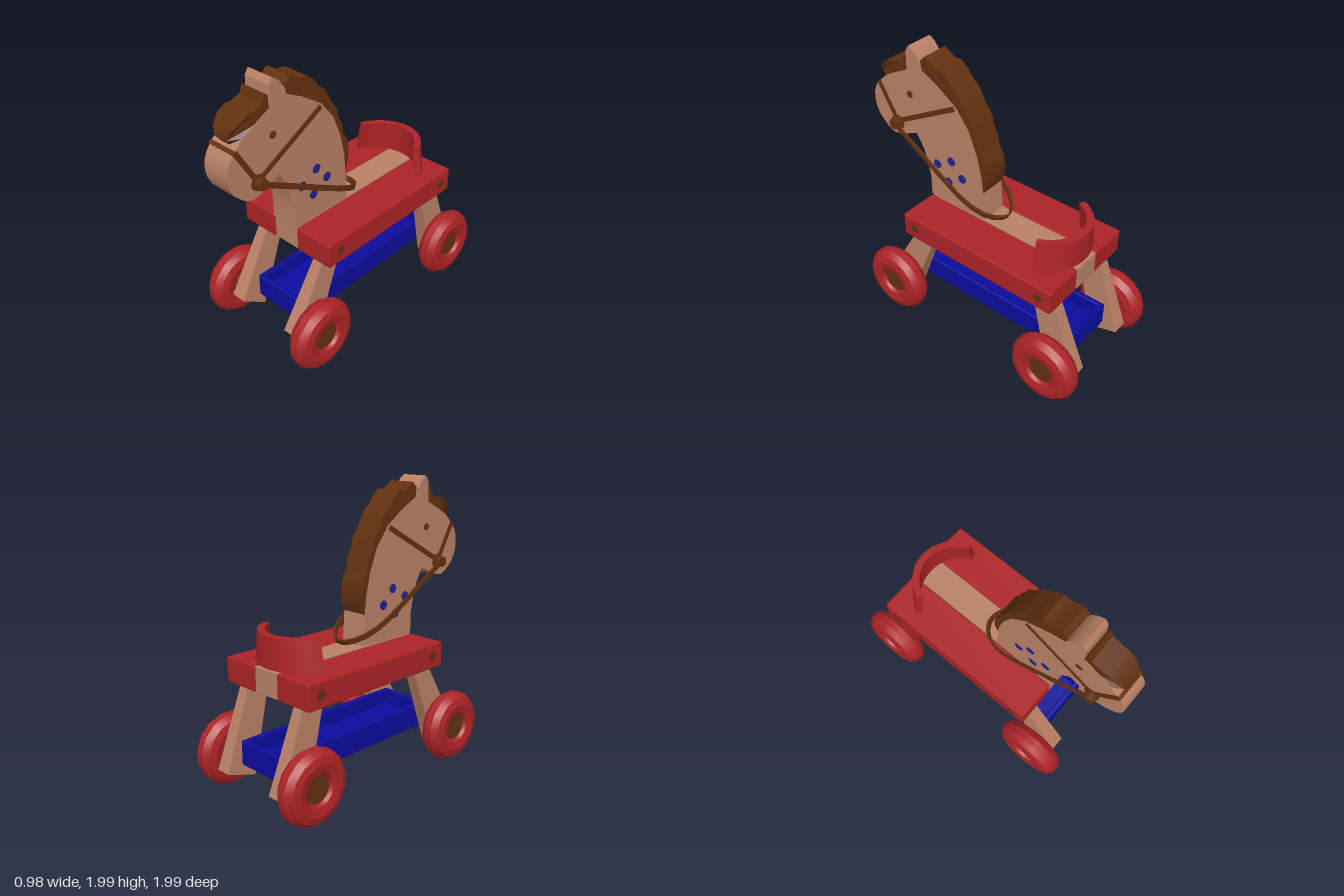
import * as THREE from 'three';
import { toCreasedNormals } from 'three/addons/utils/BufferGeometryUtils.js';
import { RoundedBoxGeometry } from 'three/addons/geometries/RoundedBoxGeometry.js';

const material = (name, color) => {
  const m = new THREE.MeshStandardMaterial({ color });
  m.name = name;
  return m;
};

export function createModel() {
  const model = new THREE.Group();
  model.name = 'rollingHorse';
  const tan = material('tan wood', 0xb98065);
  const red = material('red paint', 0xac2326);
  const blue = material('blue paint', 0x0b0b9c);
  const brown = material('brown', 0x62300f);
  const dotBlue = material('dot blue', 0x22228a);

  const add = (name, geometry, mat, x = 0, y = 0, z = 0) => {
    const mesh = new THREE.Mesh(geometry, mat);
    mesh.name = name;
    mesh.position.set(x, y, z);
    model.add(mesh);
    return mesh;
  };
  // Board cut from a side outline of [z, y] points, centred on x = 0
  const cutout = (points, width) => {
    const shape = new THREE.Shape(points.map(([z, y]) => new THREE.Vector2(z, y)));
    const g = new THREE.ExtrudeGeometry(shape, { depth: width, bevelEnabled: false });
    g.translate(0, 0, -width / 2).rotateY(-Math.PI / 2);
    return g;
  };
  const block = (name, mat, x0, x1, y0, y1, z0, z1, r = 0.012) =>
    add(name, new RoundedBoxGeometry(x1 - x0, y1 - y0, z1 - z0, 1, r), mat,
      (x0 + x1) / 2, (y0 + y1) / 2, (z0 + z1) / 2);
  const rod = (r, length, sides = 16) =>
    new THREE.CylinderGeometry(r, r, length, sides).rotateZ(Math.PI / 2);

  // Seat boards
  block('seatCentre', tan, -0.1, 0.1, 0.73, 0.9, -0.75, 0.49, 0.004);
  block('seatLeft', red, 0.105, 0.395, 0.725, 0.9, -0.75, 0.495);
  block('seatRight', red, -0.395, -0.105, 0.725, 0.9, -0.75, 0.495);

  // Curved back rest, narrowing upward
  const arc = new THREE.Shape();
  arc.absarc(0, 0.4, 0.33, Math.PI / 2 - 1.15, Math.PI / 2 + 1.15, false);
  arc.absarc(0, 0.4, 0.28, Math.PI / 2 + 1.15, Math.PI / 2 - 1.15, true);
  const rest = new THREE.ExtrudeGeometry(arc, { depth: 0.212, bevelEnabled: false, curveSegments: 14 });
  rest.rotateX(-Math.PI / 2);
  const rp = rest.attributes.position;
  for (let i = 0; i < rp.count; i++) rp.setX(i, rp.getX(i) * (1.02 - 0.6 * rp.getY(i)));
  add('backRest', toCreasedNormals(rest, 0.5), red, 0, 0.9, 0);

  // Head and neck with one broad ear
  const head = [[0.5, 0.9], [0.5, 1.05], [0.53, 1.19], [0.56, 1.27], [0.615, 1.36], [0.63, 1.35],
    [0.67, 1.335], [0.73, 1.3], [0.83, 1.28], [0.89, 1.305], [0.96, 1.37], [0.99, 1.43], [1, 1.49],
    [0.995, 1.55], [0.975, 1.6], [0.935, 1.65], [0.87, 1.71], [0.785, 1.76], [0.665, 1.82],
    [0.66, 1.96], [0.635, 2], [0.59, 1.97], [0.545, 1.91], [0.53, 1.86], [0.41, 1.8], [0.25, 1.695],
    [0.145, 1.56], [0.08, 1.4], [0.043, 1.24], [0.02, 0.9]];
  add('headAndNeck', toCreasedNormals(cutout(head, 0.2), 0.5), tan);

  // Wavy mane
  const mane = [[0.53, 1.86], [0.54, 1.925], [0.5, 1.965], [0.45, 1.935], [0.415, 1.915],
    [0.36, 1.915], [0.305, 1.87], [0.28, 1.83], [0.225, 1.785], [0.19, 1.73], [0.165, 1.68],
    [0.107, 1.6], [0.1, 1.55], [0.06, 1.47], [0.053, 1.41], [0.016, 1.35], [0, 1.27], [0.005, 1.19],
    [0.03, 1.12], [0.043, 1.24], [0.08, 1.4], [0.145, 1.56], [0.25, 1.695], [0.41, 1.8]];
  add('mane', toCreasedNormals(cutout(mane, 0.194), 0.6), brown);

  // Forelock, tapering at its tip
  const lock = cutout([[0.665, 1.82], [0.67, 1.905], [0.69, 1.92], [0.71, 1.865], [0.77, 1.845],
    [0.825, 1.84], [0.88, 1.81], [0.935, 1.755], [0.945, 1.705], [0.915, 1.668], [0.87, 1.71],
    [0.785, 1.76]], 0.194);
  const lp = lock.attributes.position;
  for (let i = 0; i < lp.count; i++) {
    const z = lp.getZ(i);
    lp.setX(i, lp.getX(i) * (z > 0.9 ? (z > 0.94 ? 0.5 : z > 0.92 ? 0.75 : 0.35) : 1));
  }
  add('forelock', toCreasedNormals(lock, 0.6), brown);

  // Bridle straps wrapping the head
  const strap = (name, [z0, y0], [z1, y1]) => {
    const dz = z1 - z0, dy = y1 - y0;
    const mesh = add(name, new THREE.BoxGeometry(0.214, 0.034, Math.hypot(dz, dy)), brown,
      0, (y0 + y1) / 2, (z0 + z1) / 2);
    mesh.rotation.x = -Math.atan2(dy, dz);
  };
  strap('noseband', [0.938, 1.65], [0.786, 1.39]);
  strap('cheekStrap', [0.786, 1.39], [0.26, 1.68]);
  add('bitDisc', rod(0.053, 0.224), brown, 0, 1.385, 0.783);
  add('bitPeg', rod(0.037, 0.31), brown, 0, 1.385, 0.783);

  // Rein: a ribbon loop lying on a sloping plane
  const half = [[0.145, 0], [0.162, 0.25], [0.18, 0.5], [0.188, 0.68], [0.178, 0.8], [0.148, 0.89],
    [0.1, 0.955], [0.05, 0.99]];
  const outer = [...half, [0, 1], ...half.slice().reverse().map(([x, s]) => [-x, s])];
  const inner = outer.map(([x, s]) => [x - 0.013 * Math.sign(x), s > 0.7 ? s - 0.013 : s]).reverse();
  const loop = new THREE.Shape([...outer, ...inner].map(p => new THREE.Vector2(...p)));
  const rein = new THREE.ExtrudeGeometry(loop, { depth: 0.036, bevelEnabled: false });
  rein.translate(0, 0, -0.018);
  add('rein', toCreasedNormals(rein, 0.5), brown, 0, 1.385, 0.783).rotation.x = Math.atan2(-0.9, -0.45);

  // Blue tray between the wheels
  block('trayFloor', blue, -0.19, 0.19, 0.22, 0.28, -0.79, 0.57);
  for (const s of [-1, 1]) block('traySide', blue, s * 0.185 - 0.018, s * 0.185 + 0.018, 0.215, 0.387, -0.805, 0.583);
  block('trayFront', blue, -0.2, 0.2, 0.215, 0.387, 0.545, 0.585);
  block('trayBack', blue, -0.2, 0.2, 0.215, 0.387, -0.807, -0.767);

  // Splayed leg; each end holds [z, y] for its back and front edge
  const leg = (name, side, top, bottom) => {
    const g = new THREE.BoxGeometry(2, 2, 2);
    const p = g.attributes.position;
    for (let i = 0; i < p.count; i++) {
      const up = p.getY(i) > 0;
      const [z, y] = (up ? top : bottom)[p.getZ(i) > 0 ? 1 : 0];
      const x = up ? 0.262 + 0.037 * p.getX(i) : 0.257 + 0.056 * p.getX(i);
      p.setXYZ(i, side > 0 ? x : x - 2 * (up ? 0.262 : 0.257), y, z);
    }
    g.computeVertexNormals();
    add(name, g, tan);
  };

  // Wheel ring profile: [radius, offset along the axle]
  const rim = [[0.092, 0.03], [0.112, 0.07], [0.17, 0.083], [0.218, 0.068], [0.25, 0.025]];
  const ring = [...rim, ...rim.slice().reverse().map(([r, o]) => [r, -o]), rim[0]];
  const wheel = new THREE.LatheGeometry(ring.reverse().map(p => new THREE.Vector2(...p)), 16);
  const wheelGeometry = toCreasedNormals(wheel.rotateZ(Math.PI / 2).rotateX(Math.PI / 16), 0.42);

  const disc = (name, mat, r, x, y, z) => add(name, rod(r, 0.008, 12), mat, x, y, z);
  for (const s of [-1, 1]) {
    leg('frontLeg', s, [[0.29, 0.74], [0.445, 0.74]], [[0.54, 0.11], [0.73, 0.24]]);
    leg('rearLeg', s, [[-0.71, 0.74], [-0.542, 0.74]], [[-0.915, 0.18], [-0.7, 0.11]]);
    for (const z of [0.593, -0.743]) {
      add('wheel', wheelGeometry, red, s * 0.405, 0.255, z);
      add('axleHub', rod(0.092, 0.145), brown, s * 0.383, 0.255, z);
    }
    // Painted details
    for (const z of [0.393, -0.652]) disc('boardPlug', brown, 0.033, s * 0.394, 0.815, z);
    disc('eye', brown, 0.025, s * 0.1, 1.645, 0.65);
    for (const [z, y] of [[0.43, 1.185], [0.303, 1.257], [0.21, 1.155], [0.332, 1.078]])
      disc('neckDot', dotBlue, 0.033, s * 0.1, y, z);
  }
  return model;
}
